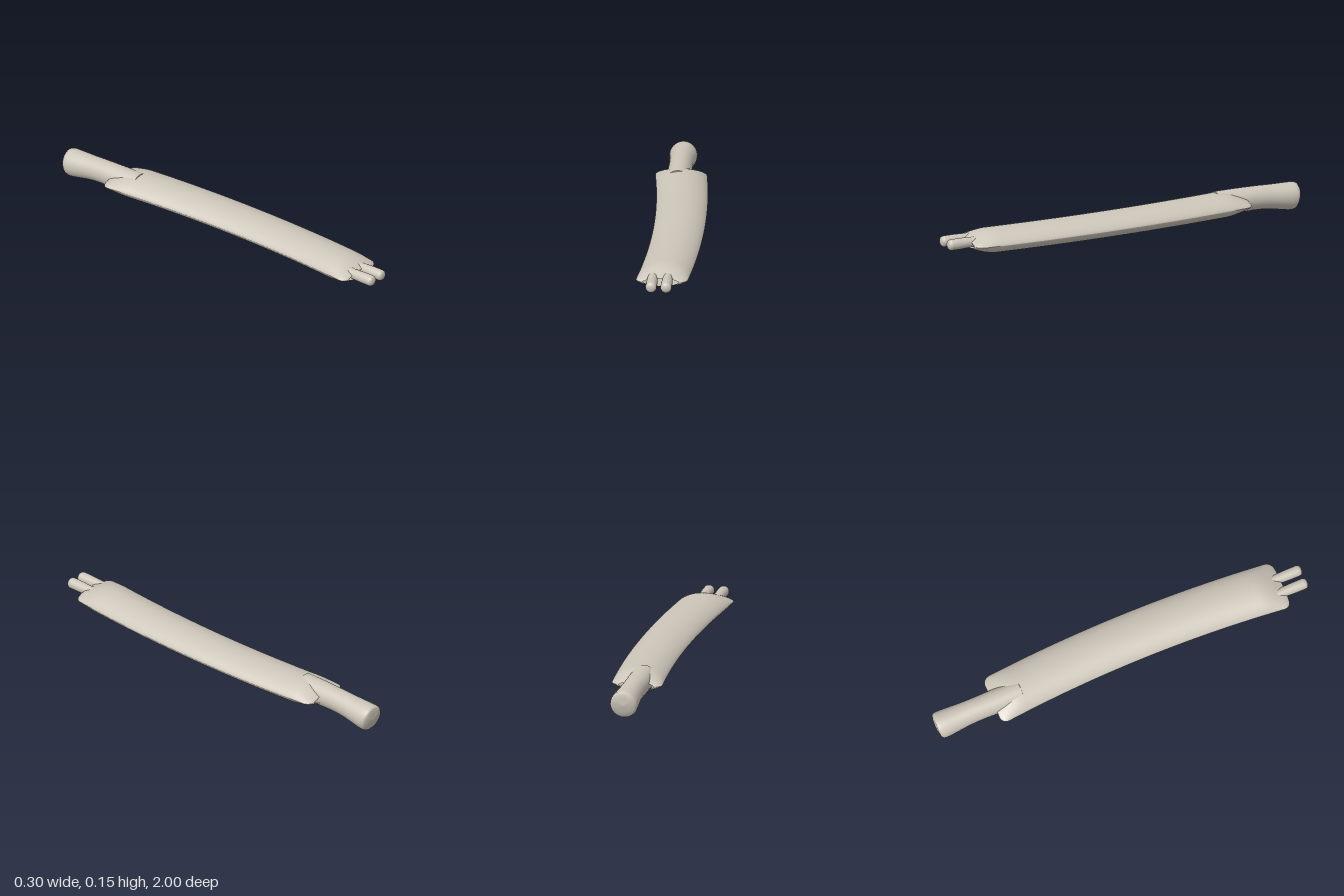
import * as THREE from 'three';

const Z_BACK = -0.69, Z_FRONT = 0.88, MID_Y = 0.09;
const smooth = THREE.MathUtils.smoothstep;

// Half of the hollow lens-shaped sleeve: side = 1 for the top, -1 for the bottom
function shellGeometry(side) {
  const rows = 64, cols = 36, pos = [], index = [];
  for (let i = 0; i <= rows; i++) {
    // stations crowd towards both ends, where the shape changes fastest
    const s = (1 - Math.cos((i / rows) * Math.PI)) / 2;
    const z = Z_BACK + (Z_FRONT - Z_BACK) * s;
    const d = Math.min(z - Z_BACK, Z_FRONT - z);
    const t = Math.min(1, d / 0.14);
    const k = (z - 0.095) / 0.785;
    const cx = 0.022 - 0.042 * k * k;
    const r = 0.04, c = Math.max(0, r - d);
    const halfW = 0.128 + 0.002 * k * k - r + Math.sqrt(r * r - c * c);
    const h = 0.02 + 0.04 * Math.sin(t * Math.PI / 2);
    for (let j = 0; j <= cols; j++) {
      const u = -Math.cos((j / cols) * Math.PI);
      const y = h * Math.pow(Math.max(0, 1 - u * u), 0.68);
      pos.push(cx + halfW * u, MID_Y + side * y, z);
    }
  }
  for (let i = 0; i < rows; i++) {
    for (let j = 0; j < cols; j++) {
      const a = i * (cols + 1) + j, b = a + cols + 1;
      if (side > 0) index.push(a, b, a + 1, b, b + 1, a + 1);
      else index.push(a, a + 1, b, b, a + 1, b + 1);
    }
  }
  const geo = new THREE.BufferGeometry();
  geo.setAttribute('position', new THREE.Float32BufferAttribute(pos, 3));
  geo.setIndex(index);
  geo.computeVertexNormals();
  return geo;
}

// Turned shape along z from [radius, z] pairs, back to front
function turned(profile, segments) {
  const geo = new THREE.LatheGeometry(profile.map(([r, z]) => new THREE.Vector2(r, z)), segments);
  return geo.rotateX(Math.PI / 2);
}

export function createModel() {
  const group = new THREE.Group();
  const clay = new THREE.MeshStandardMaterial({ color: 0xcdc6ba, side: THREE.DoubleSide });
  clay.name = 'warm grey';
  const add = (name, geo) => {
    const mesh = new THREE.Mesh(geo, clay);
    mesh.name = name;
    group.add(mesh);
    return mesh;
  };

  // Sleeve, open at both ends
  add('sleeveTop', shellGeometry(1));
  add('sleeveBottom', shellGeometry(-1));

  // Handle with a flared, drooping and slightly slanted butt
  const handle = turned([
    [0, -1.0], [0.035, -0.997], [0.058, -0.992], [0.067, -0.984], [0.07, -0.97],
    [0.069, -0.94], [0.066, -0.9], [0.062, -0.85], [0.06, -0.8], [0.06, -0.75],
    [0.062, -0.65], [0.062, -0.541], [0.061, -0.54], [0, -0.54],
  ], 40);
  const p = handle.attributes.position;
  for (let i = 0; i < p.count; i++) {
    const y = p.getY(i), z = p.getZ(i);
    const w = 1 - smooth(z, -1, -0.76);
    const slant = 1 - smooth(z, -1, -0.9);
    p.setXYZ(i, p.getX(i) - 0.025, y + 0.093 - 0.018 * w, Math.max(-1, z - 0.013 * (y / 0.07) * slant));
  }
  handle.computeVertexNormals();
  add('handle', handle);

  // Pair of round-tipped prongs
  for (const [name, x] of [['rightProng', -0.062], ['leftProng', 0.013]]) {
    const prong = add(name, turned([
      [0, 0.72], [0.02, 0.72], [0.025, 0.8], [0.026, 0.87], [0.028, 0.93], [0.028, 0.98],
      [0.026, 0.989], [0.021, 0.995], [0.012, 0.999], [0, 1.0],
    ], 28));
    prong.position.set(x, 0.1, 0);
  }
  return group;
}
